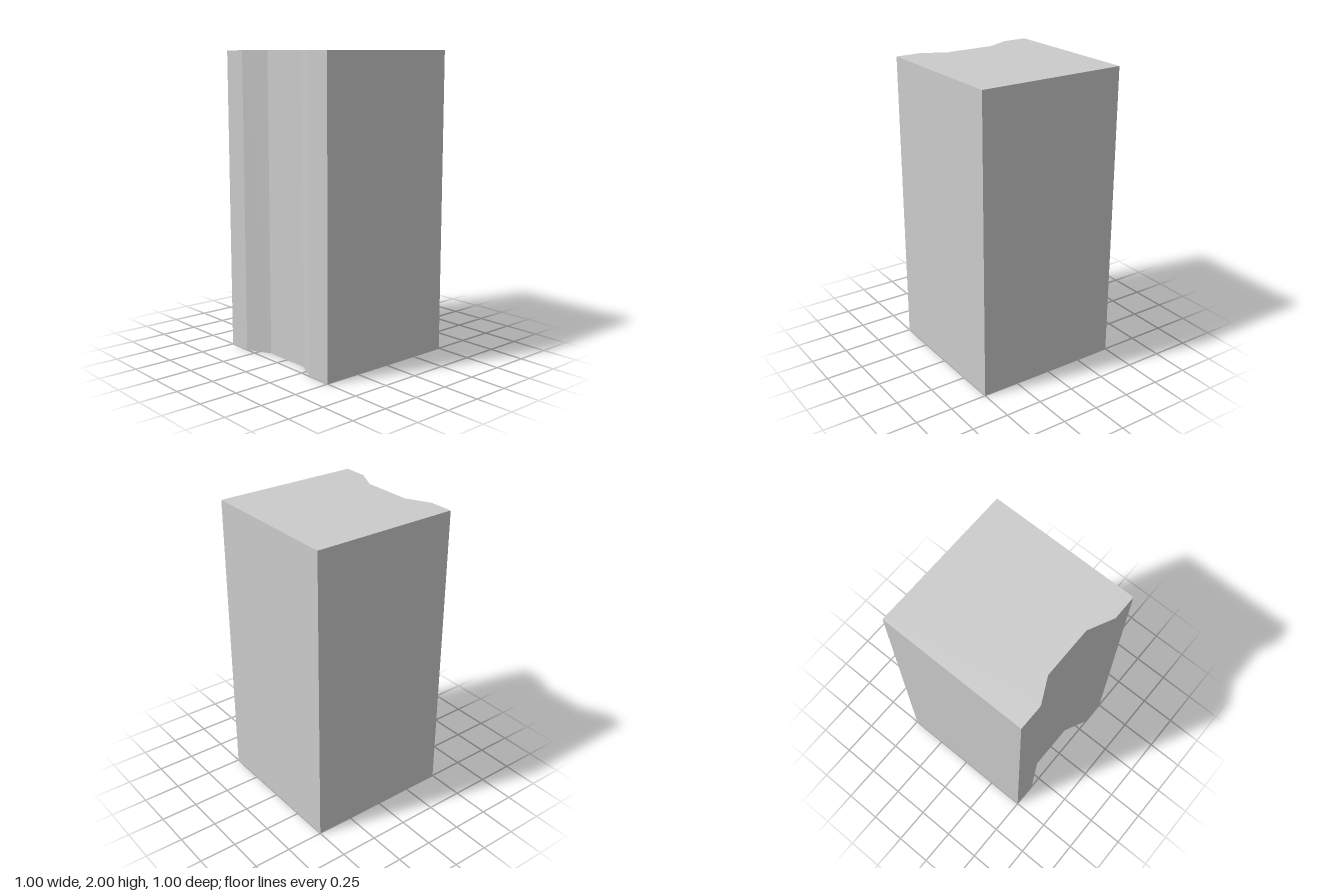
import * as THREE from 'three';

export function createModel() {
  const group = new THREE.Group();
  group.name = 'groovedBlock';

  // Square plan with a sloped channel cut into the -x side
  const plan = new THREE.Shape([
    [-0.5, -0.5], [0.5, -0.5], [0.5, 0.5], [-0.5, 0.5],
    [-0.5, 0.333], [-0.42, 0.17], [-0.42, -0.17], [-0.5, -0.333],
  ].map(([x, z]) => new THREE.Vector2(x, z)));

  // Raise the plan to full height, standing on the ground
  const geometry = new THREE.ExtrudeGeometry(plan, { depth: 2, bevelEnabled: false });
  geometry.rotateX(-Math.PI / 2);

  const block = new THREE.Mesh(
    geometry,
    new THREE.MeshStandardMaterial({ color: 0xcccccc, flatShading: true }),
  );
  block.name = 'block';
  group.add(block);
  return group;
}
